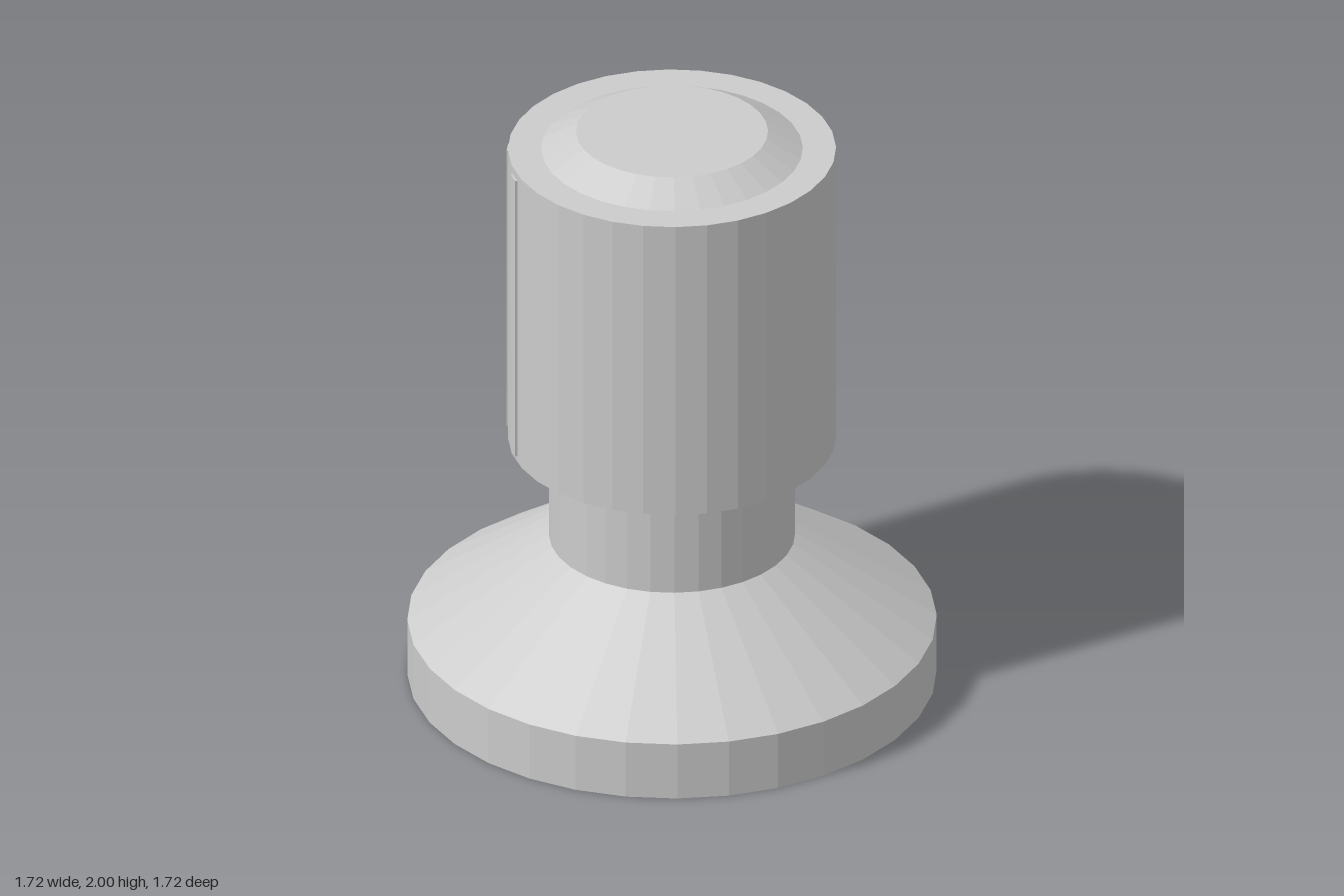
import * as THREE from 'three';

const SIDES = 32;
const material = new THREE.MeshStandardMaterial({ color: 0xcccccc, flatShading: true });

export function createModel() {
  const model = new THREE.Group();

  // Solid of revolution from a bottom-to-top profile of [radius, height]
  function turned(name, profile) {
    const points = profile.map(([r, y]) => new THREE.Vector2(r, y));
    const mesh = new THREE.Mesh(new THREE.LatheGeometry(points, SIDES), material);
    mesh.name = name;
    model.add(mesh);
  }

  // Flared foot and narrow neck
  turned('base', [[0, 0], [0.86, 0], [0.86, 0.2], [0.4, 0.51], [0, 0.51]]);
  turned('neck', [[0.4, 0.5], [0.4, 0.85]]);

  // Large grip with a shallow chamfer underneath, and a raised cap
  turned('grip', [[0, 0.84], [0.4, 0.84], [0.533, 0.87], [0.533, 1.937], [0, 1.937]]);
  turned('cap', [[0.425, 1.937], [0.312, 2], [0, 2]]);

  // Three slim vertical ribs on the back of the grip
  const ribs = new THREE.Group();
  ribs.name = 'gripRibs';
  for (const degrees of [7.5, 30, 52.5]) {
    const angle = THREE.MathUtils.degToRad(degrees);
    const rib = new THREE.Mesh(new THREE.BoxGeometry(0.04, 1.02, 0.048), material);
    rib.name = 'gripRib';
    rib.position.set(-0.518 * Math.cos(angle), 1.4, -0.518 * Math.sin(angle));
    rib.rotation.y = -angle;
    ribs.add(rib);
  }
  model.add(ribs);

  return model;
}
